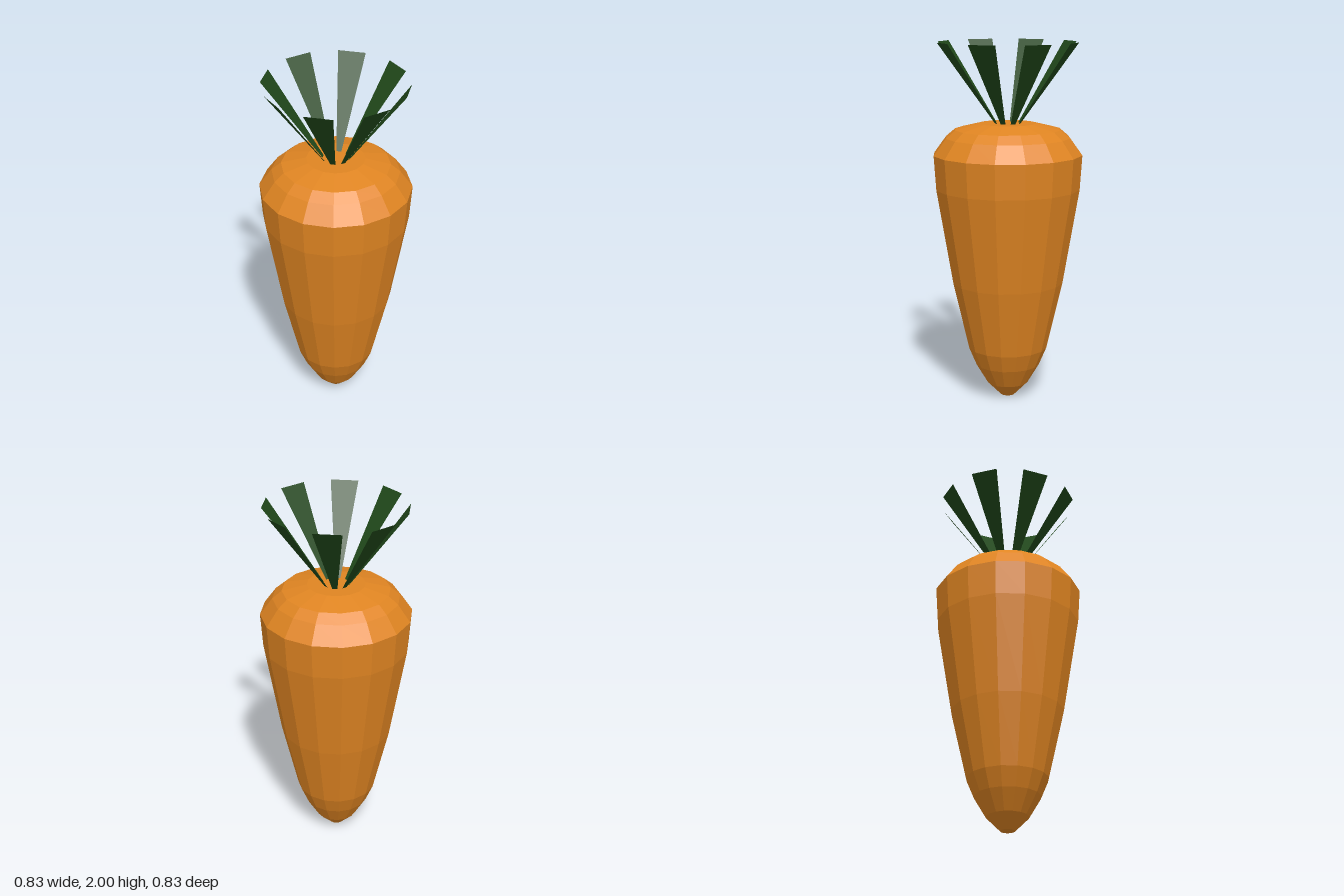
import * as THREE from 'three';

const SIDES = 16;

export function createModel() {
  const model = new THREE.Group();
  model.name = 'carrot';

  const orange = new THREE.MeshStandardMaterial({ color: 0xe08522, flatShading: true });
  const green = new THREE.MeshStandardMaterial({ color: 0x20481a, flatShading: true, side: THREE.DoubleSide });

  // Root: faceted lathe from the blunt tip up to the flat crown
  const profile = [
    [0, 0], [0.04, 0.005], [0.115, 0.08], [0.18, 0.19], [0.222, 0.29], [0.31, 0.67],
    [0.4, 1.2], [0.413, 1.39], [0.345, 1.483], [0.293, 1.527], [0.158, 1.56], [0, 1.56],
  ].map(([r, y]) => new THREE.Vector2(r, y));
  const root = new THREE.Mesh(new THREE.LatheGeometry(profile, SIDES), orange);
  root.name = 'root';
  model.add(root);

  // Leaves: every other facet of a thin flared cone
  const leaves = new THREE.Group();
  leaves.name = 'leaves';
  const base = 1.555, height = 2 - base, step = (Math.PI * 2) / SIDES;
  for (let i = 0; i < SIDES; i += 2) {
    const blade = new THREE.CylinderGeometry(0.388, 0.068, height, 1, 1, true, i * step, step);
    const leaf = new THREE.Mesh(blade, green);
    leaf.name = 'leaf';
    leaf.position.y = base + height / 2;
    leaves.add(leaf);
  }
  model.add(leaves);

  return model;
}
